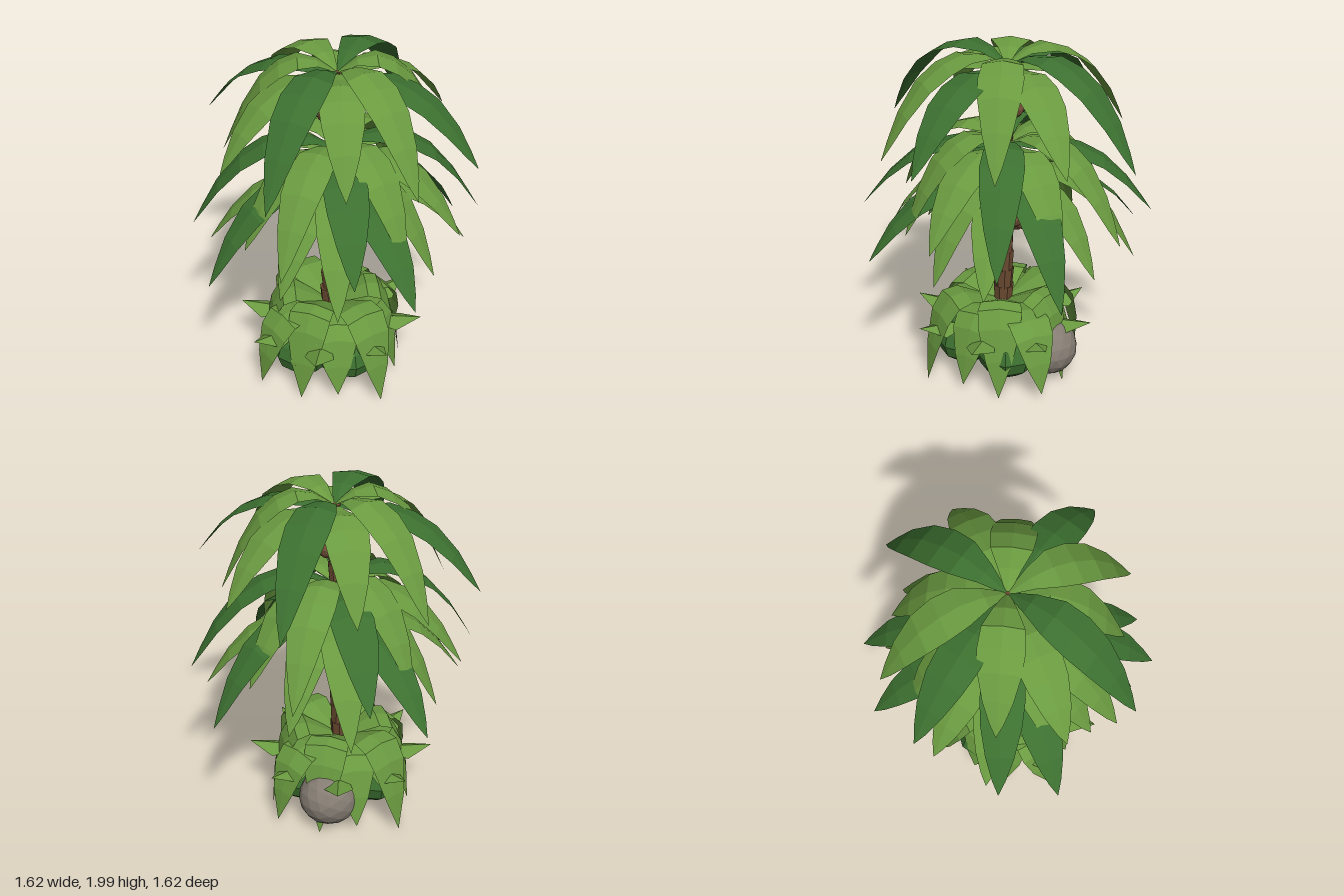
import * as THREE from 'three';

const mat = (name, color, side = THREE.FrontSide) => {
  const m = new THREE.MeshStandardMaterial({ color, flatShading: true, side });
  m.name = name;
  return m;
};

// Leaf built from cross-sections: left edge, raised midrib, right edge.
// rows: [distance along z as fraction, height, half width]
function leafGeometry(rows, reach, droop) {
  const pos = [], idx = [];
  rows.forEach(([u, y, w], i) => {
    const r = u * reach;
    pos.push(-w, y - droop * w, r, 0, y, r, w, y - droop * w, r);
    if (i === 0) return;
    const a = (i - 1) * 3, b = i * 3;
    for (let k = 0; k < 2; k++) {
      idx.push(a + k, b + k, a + k + 1, a + k + 1, b + k, b + k + 1);
    }
  });
  const g = new THREE.BufferGeometry();
  g.setAttribute('position', new THREE.Float32BufferAttribute(pos, 3));
  g.setIndex(idx);
  g.computeVertexNormals();
  return g;
}

export function createModel() {
  const model = new THREE.Group();
  model.name = 'palmTree';
  const light = mat('lightGreen', 0x6a9a40, THREE.DoubleSide);
  const dark = mat('darkGreen', 0x3c7030, THREE.DoubleSide);
  const bark = mat('bark', 0x6a4a31);
  const husk = mat('coconutHusk', 0x78523a);
  const stone = mat('stone', 0x857d73);

  const add = (parent, name, geo, material, x = 0, y = 0, z = 0) => {
    const m = new THREE.Mesh(geo, material);
    m.name = name;
    m.position.set(x, y, z);
    parent.add(m);
    return m;
  };
  const rad = THREE.MathUtils.degToRad;

  // Trunk: stacked flared rings, leaning slightly
  const trunk = new THREE.Group();
  trunk.name = 'trunk';
  model.add(trunk);
  const rings = 16, bottom = 0.07, ringH = 0.115;
  for (let i = 0; i < rings; i++) {
    const t = i / (rings - 1);
    const r = 0.068 - 0.032 * t;
    const ring = add(trunk, 'trunkRing', new THREE.CylinderGeometry(r, r * 0.86, ringH + 0.01, 8),
      bark, -0.065 * Math.pow(1 - t, 1.3), bottom + (i + 0.5) * ringH, 0);
    ring.rotation.set(0, i * 0.5, -0.04);
  }

  // One arching frond, from the crown centre over an apex to a drooping tip
  function frond(parent, material, angle, reach, centreY, apexY, tipY) {
    const drop = apexY - tipY;
    const rows = [
      [0, centreY, 0.008],
      [0.17, apexY - 0.02, 0.06],
      [0.34, apexY, 0.108],
      [0.5, apexY - 0.08 * drop, 0.12],
      [0.66, apexY - 0.24 * drop, 0.11],
      [0.82, apexY - 0.53 * drop, 0.077],
      [0.93, apexY - 0.81 * drop, 0.037],
      [1, tipY, 0.001],
    ];
    const m = add(parent, 'frond', leafGeometry(rows, reach, 0.18), material);
    m.rotation.y = rad(angle);
  }

  // Three equal crowns, turned differently: twelve fronds each, in three
  // lengths, alternately flatter and more arched
  const kinds = [[dark, 0.815], [light, 0.62], [light, 0.73]];
  for (const [name, apex, turn] of [
    ['topCrown', 2.0, 28], ['middleCrown', 1.545, -30], ['lowerCrown', 1.335, -6]]) {
    const g = new THREE.Group();
    g.name = name;
    model.add(g);
    for (let i = 0; i < 12; i++) {
      const [material, reach] = kinds[i % 3];
      const flat = i % 2 === 0;
      const tip = apex - (flat && i % 3 !== 1 ? 0.475 : 0.525);
      frond(g, material, turn + i * 30, reach, apex - 0.09, apex - (flat ? 0.065 : 0), tip);
    }
  }

  // Coconut clusters under the crowns
  const coconutGeo = new THREE.IcosahedronGeometry(0.064, 1);
  const coconuts = [
    [0.055, 1.025, -0.01], [0.0, 1.03, -0.055], [0.05, 1.0, -0.06], [0.03, 0.99, -0.045],
    [0.055, 1.685, -0.01], [-0.045, 1.675, -0.02], [0.02, 1.69, -0.055],
  ];
  coconuts.forEach(([x, y, z]) => add(model, 'coconut', coconutGeo, husk, x, y, z));

  // Rounded shrubs around the trunk foot, leaving room for the rock
  const shrubGeo = new THREE.SphereGeometry(0.185, 9, 6);
  for (const a of [-145, -65, 65, 145]) {
    const dir = rad(135 + a);
    const s = add(model, 'shrub', shrubGeo, dark,
      -0.05 + 0.225 * Math.sin(dir), 0.215, 0.225 * Math.cos(dir));
    s.scale.y = 0.82;
    s.rotation.y = dir;
  }

  // Rock
  const rock = add(model, 'rock', new THREE.IcosahedronGeometry(0.185, 2), stone, 0.19, 0.2, -0.17);
  rock.scale.set(1.02, 0.93, 0.95);

  // Ground plant: twelve arched leaves falling to the ground, every third longer
  const plant = new THREE.Group();
  plant.name = 'groundPlant';
  plant.position.set(-0.05, 0, 0);
  model.add(plant);
  for (let i = 0; i < 12; i++) {
    const long = i % 3 === 0, flat = i % 2 === 1;
    const tip = flat ? 0.06 : 0.01;
    const top = flat ? 0.49 : 0.55, drop = top - tip;
    const rows = [
      [0, 0.43, 0.01],
      [0.26, 0.5 * (0.43 + top), 0.075],
      [0.5, top - 0.005, 0.115],
      [0.68, top - 0.02, 0.127],
      [0.82, top - 0.22 * drop, 0.118],
      [0.93, top - 0.58 * drop, 0.075],
      [1, tip, 0.001],
    ];
    const leaf = add(plant, 'groundLeaf', leafGeometry(rows, long ? 0.5 : 0.42, 0.15), light);
    leaf.rotation.y = rad(i * 30);
  }

  // Small pointed leaves sticking out sideways
  const spikeRows = [[0.5, 0.35, 0.04], [0.75, 0.36, 0.085], [1, 0.37, 0.001]];
  const spikeGeo = leafGeometry(spikeRows, 0.54, 0.5);
  for (let i = 0; i < 8; i++) {
    const spike = add(plant, 'sideLeaf', spikeGeo, light);
    spike.rotation.y = rad(i * 45);
  }

  return model;
}
